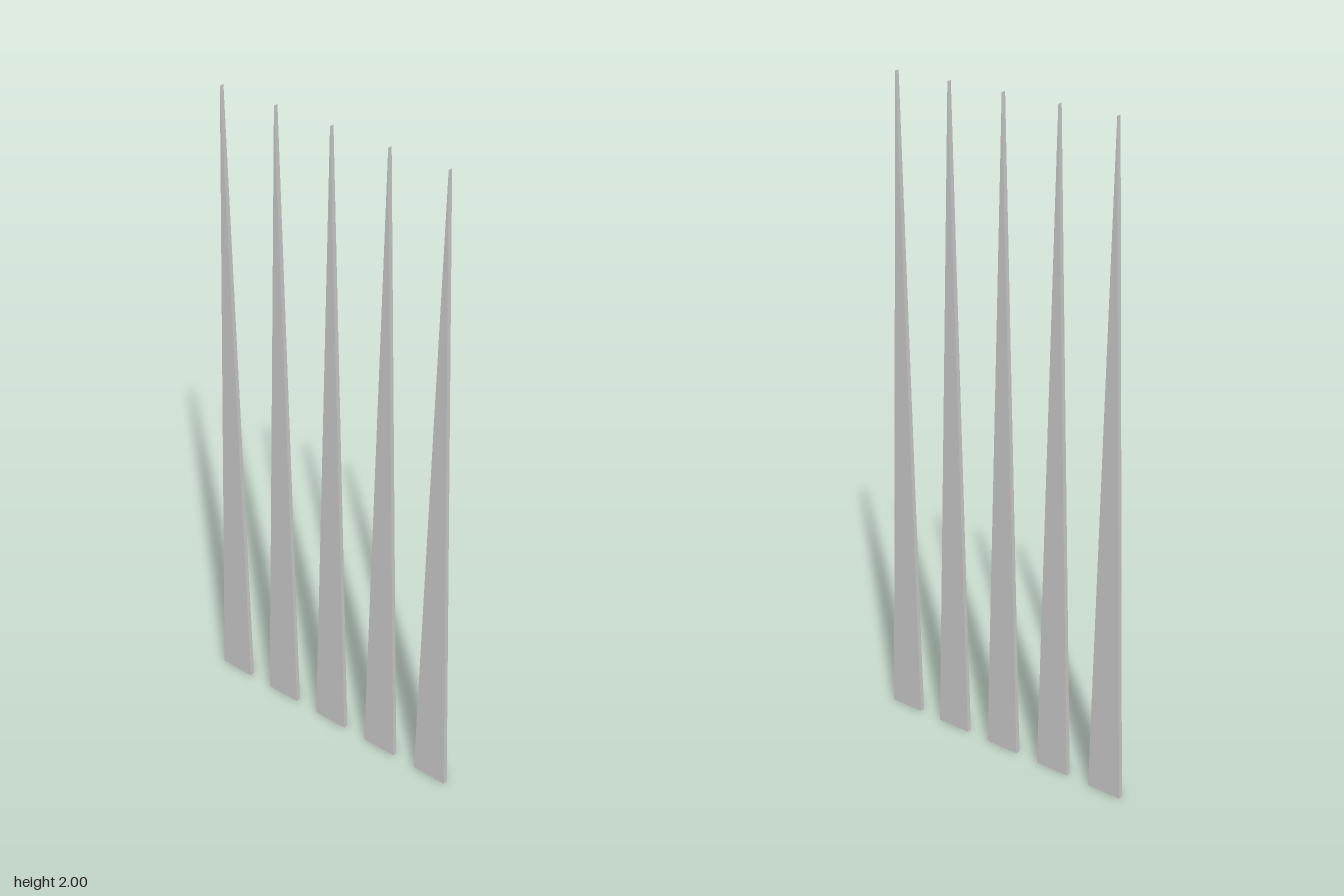
import * as THREE from 'three';

const COUNT = 5, SPACING = 0.194, WIDTH = 0.114, HEIGHT = 2, DEPTH = 0.014;

export function createModel() {
  const group = new THREE.Group();
  group.name = 'spikeRow';
  const material = new THREE.MeshStandardMaterial({ color: 0xcccccc, flatShading: true });

  // Thin, tall triangular blade, shared by every spike
  const blade = new THREE.Shape([
    new THREE.Vector2(-WIDTH / 2, 0),
    new THREE.Vector2(WIDTH / 2, 0),
    new THREE.Vector2(0, HEIGHT),
  ]);
  const geometry = new THREE.ExtrudeGeometry(blade, { depth: DEPTH, bevelEnabled: false });
  geometry.translate(0, 0, -DEPTH / 2);

  // Evenly spaced row
  for (let i = 0; i < COUNT; i++) {
    const spike = new THREE.Mesh(geometry, material);
    spike.name = `spike${i + 1}`;
    spike.position.x = (i - (COUNT - 1) / 2) * SPACING;
    group.add(spike);
  }
  return group;
}
